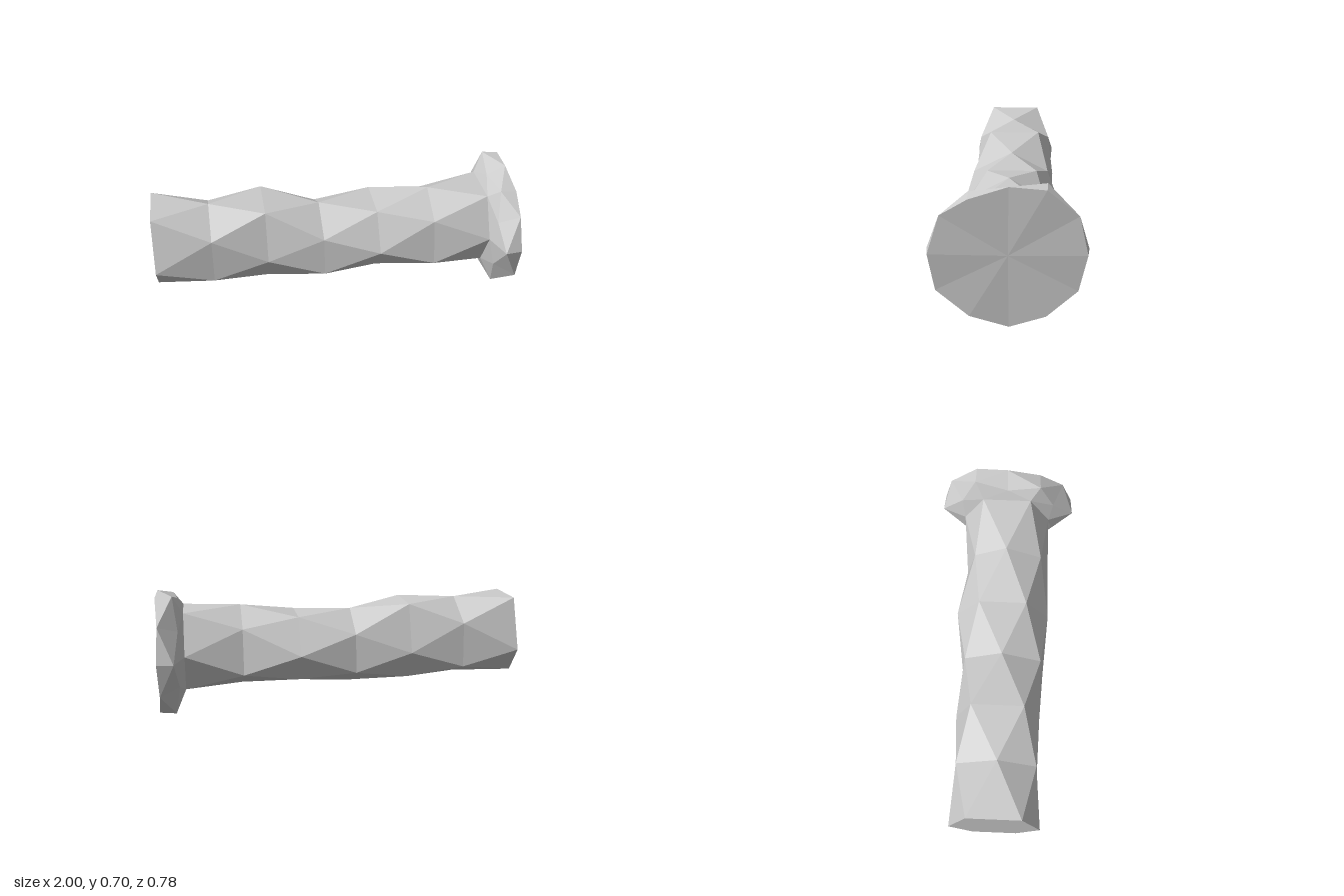
import * as THREE from 'three';

const material = new THREE.MeshStandardMaterial({ color: 0xcccccc, flatShading: true });

function facetMesh(name, triangles) {
  const geometry = new THREE.BufferGeometry();
  geometry.setAttribute('position', new THREE.Float32BufferAttribute(triangles.flat(2), 3));
  geometry.computeVertexNormals();
  const mesh = new THREE.Mesh(geometry, material);
  mesh.name = name;
  return mesh;
}

// Hexagon with a flat top: upper pair, middle pair, lower pair
function flatRing([x, top, mid, low, zc, zUp, zMid, zLow]) {
  return [
    [x, top, zc + zUp], [x, mid, zc + zMid], [x, low, zc + zLow],
    [x, low, zc - zLow], [x, mid, zc - zMid], [x, top, zc - zUp],
  ];
}

// Hexagon with a point at the top and bottom
function pointRing([x, top, high, low, bottom, zc, zHigh, zLow]) {
  return [
    [x, top, 0], [x, high, zc + zHigh], [x, low, zc + zLow],
    [x, bottom, 0], [x, low, zc - zLow], [x, high, zc - zHigh],
  ];
}

const midpoint = (a, b) => a.map((v, i) => (v + b[i]) / 2);

// Fan that closes a ring; facing is +1 for +x and -1 for -x
function cap(ring, facing) {
  const n = ring.length;
  const center = [0, 1, 2].map((k) => ring.reduce((sum, p) => sum + p[k], 0) / n);
  return ring.map((p, i) => {
    const q = ring[(i + 1) % n];
    return facing > 0 ? [center, p, q] : [center, q, p];
  });
}

// Adds the in-between corner of each side of a hexagon
function subdivide(ring) {
  return ring.flatMap((p, i) => [p, midpoint(p, ring[(i + 1) % 6])]);
}

export function createModel() {
  const group = new THREE.Group();
  group.name = 'facetedPeg';

  // Shaft: alternating hexagons joined into diamond facets
  const flat = [
    [-1, 0.63, 0.35, 0.205, -0.004, 0.145, 0.246, 0.12],
    [-0.39, 0.612, 0.352, 0.19, -0.01, 0.143, 0.232, 0.125],
    [0.23, 0.555, 0.362, 0.2, -0.008, 0.133, 0.262, 0.13],
    [0.855, 0.598, 0.382, 0.172, -0.008, 0.137, 0.25, 0.135],
  ].map(flatRing);
  const pointed = [
    [-0.69, 0.62, 0.505, 0.26, 0.178, -0.005, 0.215, 0.225],
    [-0.08, 0.57, 0.46, 0.248, 0.146, 0.005, 0.212, 0.232],
    [0.54, 0.61, 0.505, 0.26, 0.16, 0.01, 0.19, 0.24],
  ].map(pointRing);

  const shaft = [];
  pointed.forEach((b, s) => {
    const a = flat[s];
    const c = flat[s + 1];
    for (let i = 0; i < 6; i++) {
      const j = (i + 1) % 6;
      shaft.push([a[i], a[j], b[j]], [a[i], b[j], b[i]]);
      shaft.push([b[i], b[j], c[i]], [b[j], c[j], c[i]]);
    }
  });

  // Free end of the shaft, with its sides nicked slightly inward
  const end = subdivide(flat[0]);
  shaft.push(...cap(end, -1));
  group.add(facetMesh('shaft', shaft));

  // Flared head: neck ring, rear rim with set-back corners, front face
  const neck = subdivide(flat[3]);
  const rimHex = flatRing([0.91, 0.7, 0.375, 0.052, -0.004, 0.188, 0.388, 0.188]);
  rimHex[0][1] = 0.657;
  const rim = subdivide(rimHex).map(([x, y, z], i) =>
    i % 2 ? [0.885, 0.375 + (y - 0.375) * 0.93, z * 0.93] : [x, y, z]);
  const faceFlat = flatRing([1, 0.693, 0.375, 0.06, -0.004, 0.184, 0.378, 0.184]);
  faceFlat[0][1] = 0.647;
  const facePoint = [
    [0.99, 0.565, 0.315], [0.99, 0.19, 0.34], [0.99, 0, -0.01],
    [0.99, 0.19, -0.34], [0.99, 0.565, -0.34], [0.99, 0.705, -0.01],
  ];
  const face = faceFlat.flatMap((p, i) => [p, facePoint[i]]);

  const head = [];
  [[neck, rim], [rim, face]].forEach(([a, b]) => {
    for (let i = 0; i < 12; i++) {
      const j = (i + 1) % 12;
      if (i % 2) head.push([a[i], a[j], b[i]], [a[j], b[j], b[i]]);
      else head.push([a[i], a[j], b[j]], [a[i], b[j], b[i]]);
    }
  });
  head.push(...cap(face, 1));
  group.add(facetMesh('head', head));

  return group;
}
